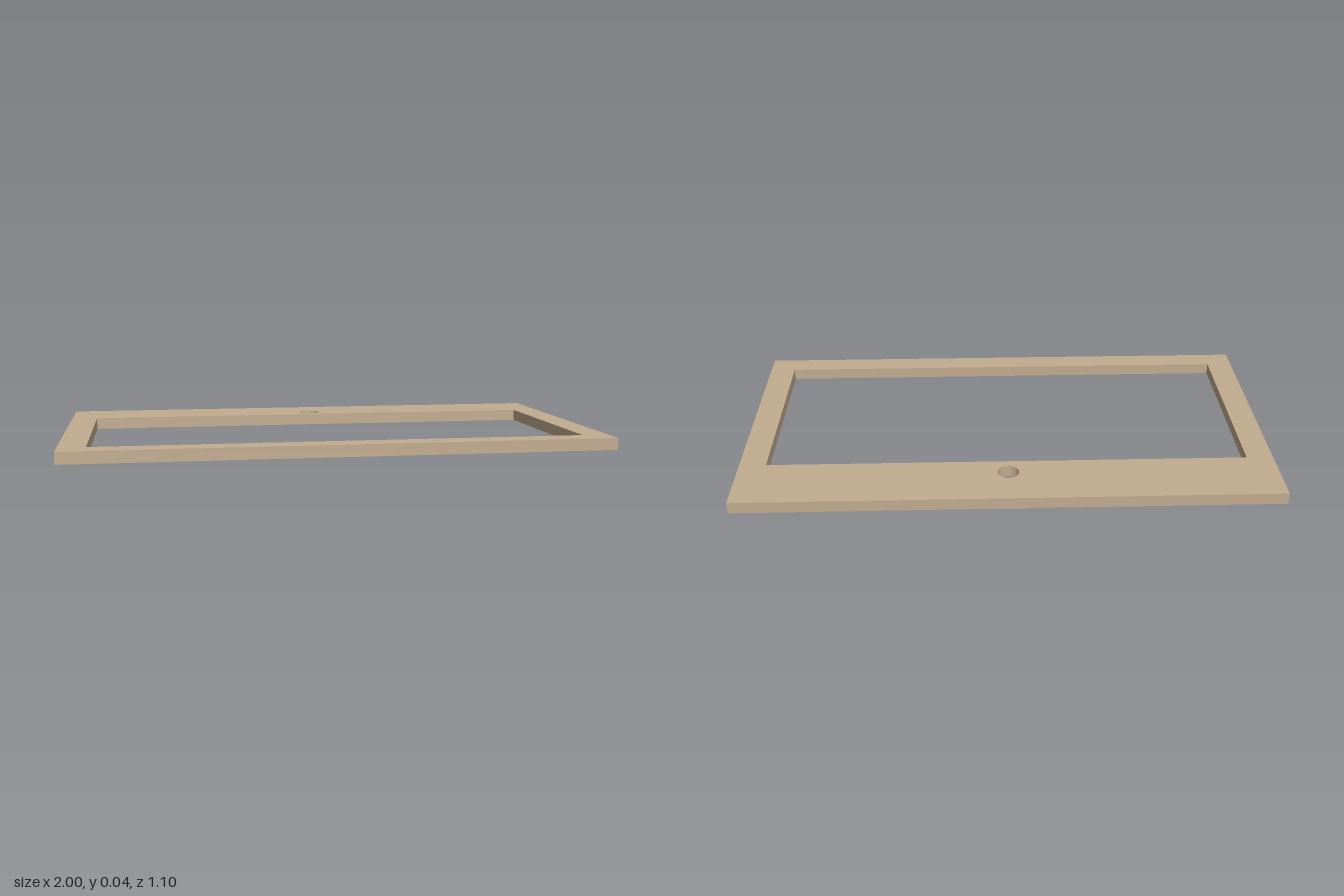
import * as THREE from 'three';
import { toCreasedNormals } from 'three/addons/utils/BufferGeometryUtils.js';

const WIDTH = 2, DEPTH = 1.1, THICKNESS = 0.044;

// Closed rectangle; shape y points to the back of the model
function rectangle(path, x0, y0, x1, y1) {
  path.moveTo(x0, y0);
  path.lineTo(x1, y0);
  path.lineTo(x1, y1);
  path.lineTo(x0, y1);
  path.closePath();
  return path;
}

export function createModel() {
  const model = new THREE.Group();
  model.name = 'framePanel';

  const wood = new THREE.MeshStandardMaterial({ color: 0xc2ac8f });
  wood.name = 'tan';

  // Flat panel outline with a large window and a round hole in the wide back rail
  const outline = rectangle(new THREE.Shape(), -WIDTH / 2, -DEPTH / 2, WIDTH / 2, DEPTH / 2);
  const opening = rectangle(new THREE.Path(), -0.9, -0.46, 0.9, 0.305);
  const hole = new THREE.Path().absarc(0, 0.378, 0.04, 0, Math.PI * 2, true);
  outline.holes.push(opening, hole);

  // Lay the extruded panel flat on the ground
  const geometry = new THREE.ExtrudeGeometry(outline, {
    depth: THICKNESS, bevelEnabled: false, curveSegments: 32,
  });
  geometry.rotateX(-Math.PI / 2);

  const frame = new THREE.Mesh(toCreasedNormals(geometry, Math.PI / 6), wood);
  frame.name = 'frame';
  model.add(frame);
  return model;
}
